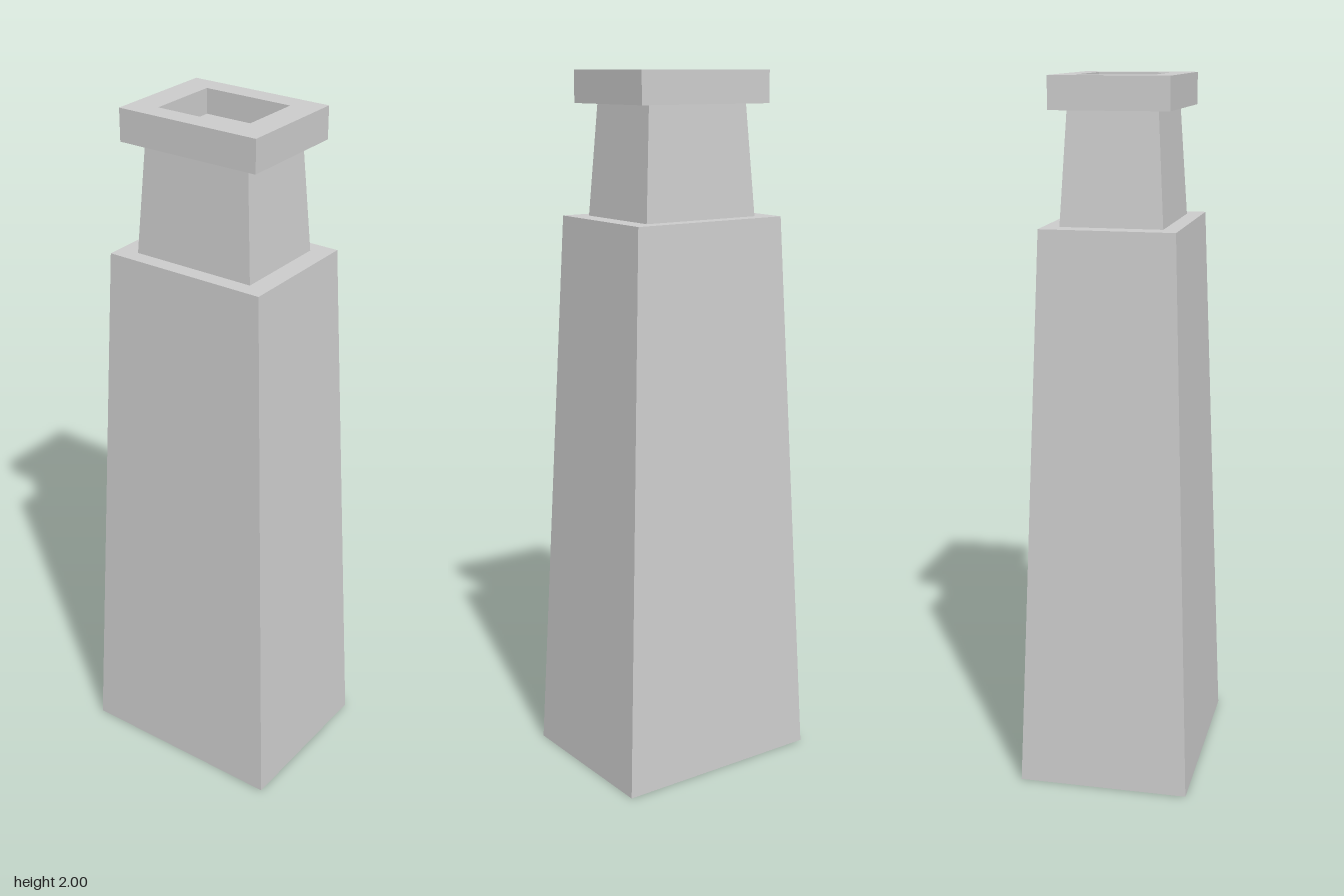
import * as THREE from 'three';

const material = new THREE.MeshStandardMaterial({
  color: 0xcccccc, flatShading: true, side: THREE.DoubleSide,
});

// Joins rectangular rings [halfWidth, y, halfDepth] with flat walls, optionally capping the last ring.
function rectShell(name, rings, capped) {
  const corners = rings.map(([w, y, d]) => [[w, y, d], [w, y, -d], [-w, y, -d], [-w, y, d]]);
  const positions = [];
  const quad = (a, b, c, d) => positions.push(...a, ...b, ...c, ...a, ...c, ...d);
  for (let i = 0; i < corners.length - 1; i++) {
    const lower = corners[i], upper = corners[i + 1];
    for (let k = 0; k < 4; k++) {
      const n = (k + 1) % 4;
      quad(lower[k], lower[n], upper[n], upper[k]);
    }
  }
  if (capped) quad(...corners[corners.length - 1]);
  const geometry = new THREE.BufferGeometry();
  geometry.setAttribute('position', new THREE.Float32BufferAttribute(positions, 3));
  geometry.computeVertexNormals();
  const mesh = new THREE.Mesh(geometry, material);
  mesh.name = name;
  return mesh;
}

export function createModel() {
  const model = new THREE.Group();
  model.name = 'chimney';

  // Tall tapered stack, hollow and open underneath, with a flat ledge on top
  model.add(rectShell('taperedStack', [
    [0.243, 0, 0.313],
    [0.188, 1.6, 0.242],
  ], true));

  // Narrower tapered neck
  model.add(rectShell('neck', [
    [0.143, 1.6, 0.184],
    [0.125, 1.91, 0.163],
  ], false));

  // Overhanging collar: underside, outer wall, rim, recess wall and recess floor
  model.add(rectShell('collar', [
    [0.125, 1.91, 0.163],
    [0.165, 1.91, 0.213],
    [0.165, 2, 0.213],
    [0.105, 2, 0.133],
    [0.105, 1.93, 0.133],
  ], true));

  return model;
}
